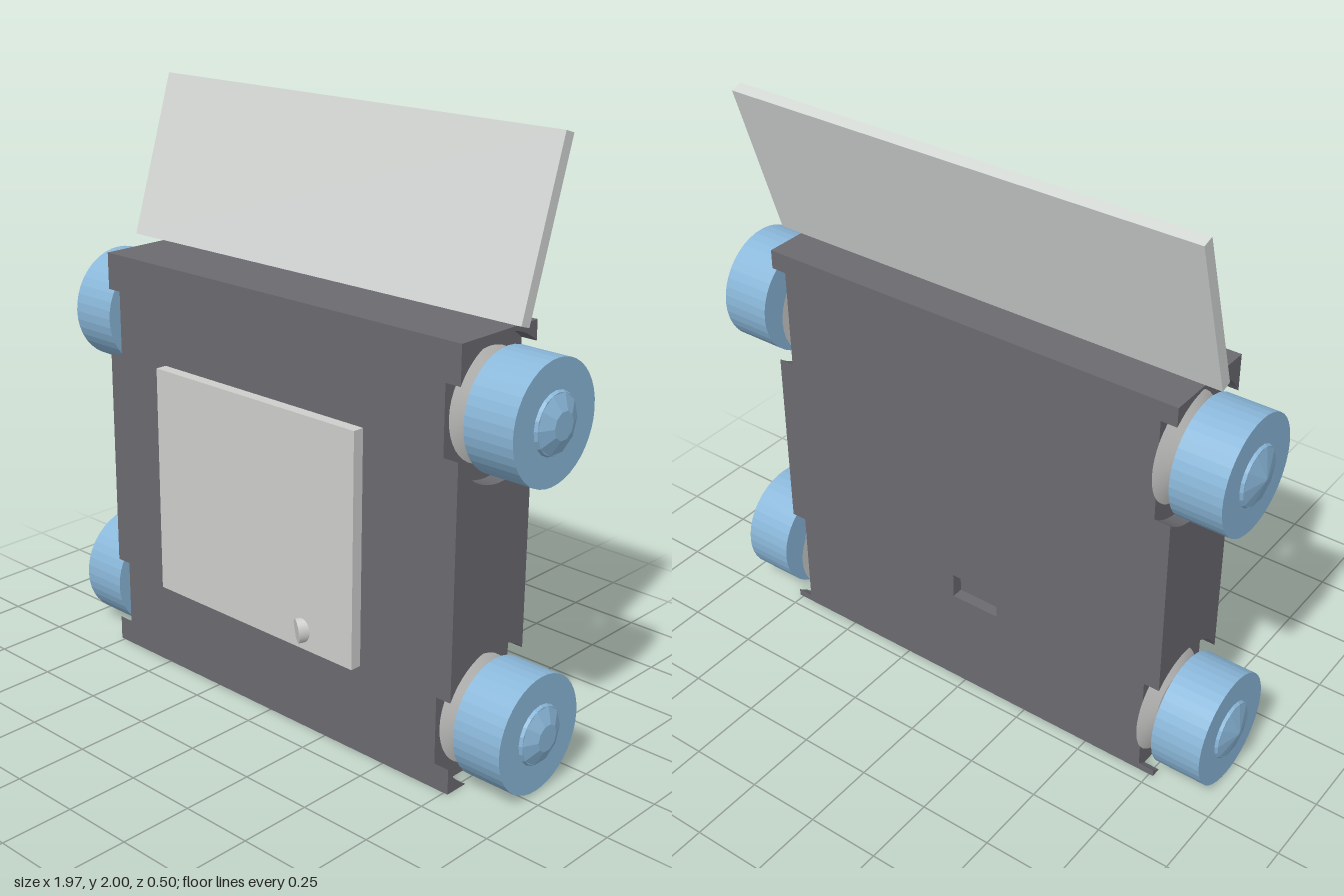
import * as THREE from 'three';

export function createModel() {
  const model = new THREE.Group();
  const material = (name, color, flatShading = false) => {
    const m = new THREE.MeshStandardMaterial({ color, flatShading });
    m.name = name;
    return m;
  };
  const bodyGrey = material('body grey', 0x6a6a70);
  const panelGrey = material('panel grey', 0xcdcecc);
  const screenGrey = material('screen grey', 0xd3d7d4);
  const wheelBlue = material('wheel blue', 0x8ab7d9, true);

  const add = (parent, name, geometry, mat, x = 0, y = 0, z = 0) => {
    const mesh = new THREE.Mesh(geometry, mat);
    mesh.name = name;
    mesh.position.set(x, y, z);
    parent.add(mesh);
    return mesh;
  };

  // Body dimensions and wheel centres
  const W = 0.765, INNER = 0.71, H = 1.44, FRONT = 0.145, BACK = -0.205;
  const WHEEL_Z = -0.055, WHEEL_Y = [0.2, 1.2], POCKET = 0.23;

  // Core, with a recessed slot in the back wall
  const body = new THREE.Group();
  body.name = 'body';
  model.add(body);
  const wall = 0.04;
  add(body, 'bodyCore', new THREE.BoxGeometry(INNER * 2, H, FRONT - BACK - wall),
    bodyGrey, 0, H / 2, (FRONT + BACK + wall) / 2);
  const backShape = new THREE.Shape([
    [-INNER, 0], [INNER, 0], [INNER, H], [-INNER, H],
  ].map(p => new THREE.Vector2(...p)));
  backShape.holes.push(new THREE.Path([
    [-0.135, 0.355], [-0.135, 0.445], [0.045, 0.445], [0.045, 0.355],
  ].map(p => new THREE.Vector2(...p))));
  add(body, 'backWall', new THREE.ExtrudeGeometry(backShape, { depth: wall, bevelEnabled: false }),
    bodyGrey, 0, 0, BACK);

  // Side walls cut away by the round wheel pockets
  const arc = (cy, from, to, n = 20) => Array.from({ length: n + 1 }, (_, i) => {
    const a = from + (to - from) * i / n;
    return new THREE.Vector2(WHEEL_Z + POCKET * Math.cos(a), cy + POCKET * Math.sin(a));
  });
  const f = Math.acos((FRONT - WHEEL_Z) / POCKET);
  const b = Math.acos((WHEEL_Z - BACK) / POCKET);
  const g = Math.asin(WHEEL_Y[0] / POCKET);
  const P = Math.PI, [low, high] = WHEEL_Y;
  const sidePieces = {
    sideMiddle: [...arc(low, f, P - b), ...arc(high, P + b, 2 * P - f)],
    sideTop: [...arc(high, f, P - b), new THREE.Vector2(BACK, H), new THREE.Vector2(FRONT, H)],
    sideFrontFoot: [...arc(low, -g, -f, 8), new THREE.Vector2(FRONT, 0)],
    sideBackFoot: [...arc(low, P + b, P + g, 6), new THREE.Vector2(BACK, 0)],
  };
  for (const [name, points] of Object.entries(sidePieces)) {
    const geometry = new THREE.ExtrudeGeometry(new THREE.Shape(points),
      { depth: W - INNER, bevelEnabled: false }).rotateY(-P / 2);
    add(body, name, geometry, bodyGrey, W);
    add(body, name, geometry, bodyGrey, -INNER);
  }

  // Wheels: every part is a cylinder or cone along x, from inner to outer radius
  const disc = (parent, name, x0, x1, r0, r1, mat, sides = 40) =>
    add(parent, name, new THREE.CylinderGeometry(r1, r0, x1 - x0, sides).rotateZ(-P / 2),
      mat, (x0 + x1) / 2);
  for (const side of [1, -1]) {
    for (const y of WHEEL_Y) {
      const wheel = new THREE.Group();
      wheel.name = side > 0 ? 'leftWheel' : 'rightWheel';
      disc(wheel, 'mount', INNER, 0.735, 0.18, 0.1, panelGrey);
      disc(wheel, 'axle', 0.73, 0.77, 0.04, 0.04, panelGrey, 16);
      disc(wheel, 'innerHub', 0.763, 0.78, 0.08, 0.1, wheelBlue, 20);
      disc(wheel, 'tyre', 0.775, 0.95, 0.195, 0.195, wheelBlue);
      disc(wheel, 'hubCap', 0.95, 0.96, 0.1, 0.095, wheelBlue, 20);
      disc(wheel, 'hubTip', 0.96, 0.983, 0.095, side > 0 ? 0.045 : 0.006, wheelBlue, 10);
      wheel.position.set(0, y, WHEEL_Z);
      wheel.rotation.y = side > 0 ? 0 : P;
      model.add(wheel);
    }
  }

  // Tilted screen above the body
  const screen = add(model, 'screen', new THREE.BoxGeometry(1.66, 0.562, 0.04),
    screenGrey, 0, 1.726, -0.143);
  screen.rotation.x = -0.307;

  // Front panel held by a slanted peg
  add(model, 'frontPanel', new THREE.BoxGeometry(0.875, 0.785, 0.04), panelGrey, -0.002, 0.728, 0.205);
  const start = new THREE.Vector3(0.28, 0.41, 0.125);
  const end = new THREE.Vector3(0.212, 0.397, 0.238);
  const peg = add(model, 'peg',
    new THREE.CylinderGeometry(0.042, 0.042, start.distanceTo(end), 24).rotateX(P / 2).scale(0.75, 1, 1),
    panelGrey);
  peg.position.copy(start).lerp(end, 0.5);
  peg.lookAt(end);

  return model;
}
